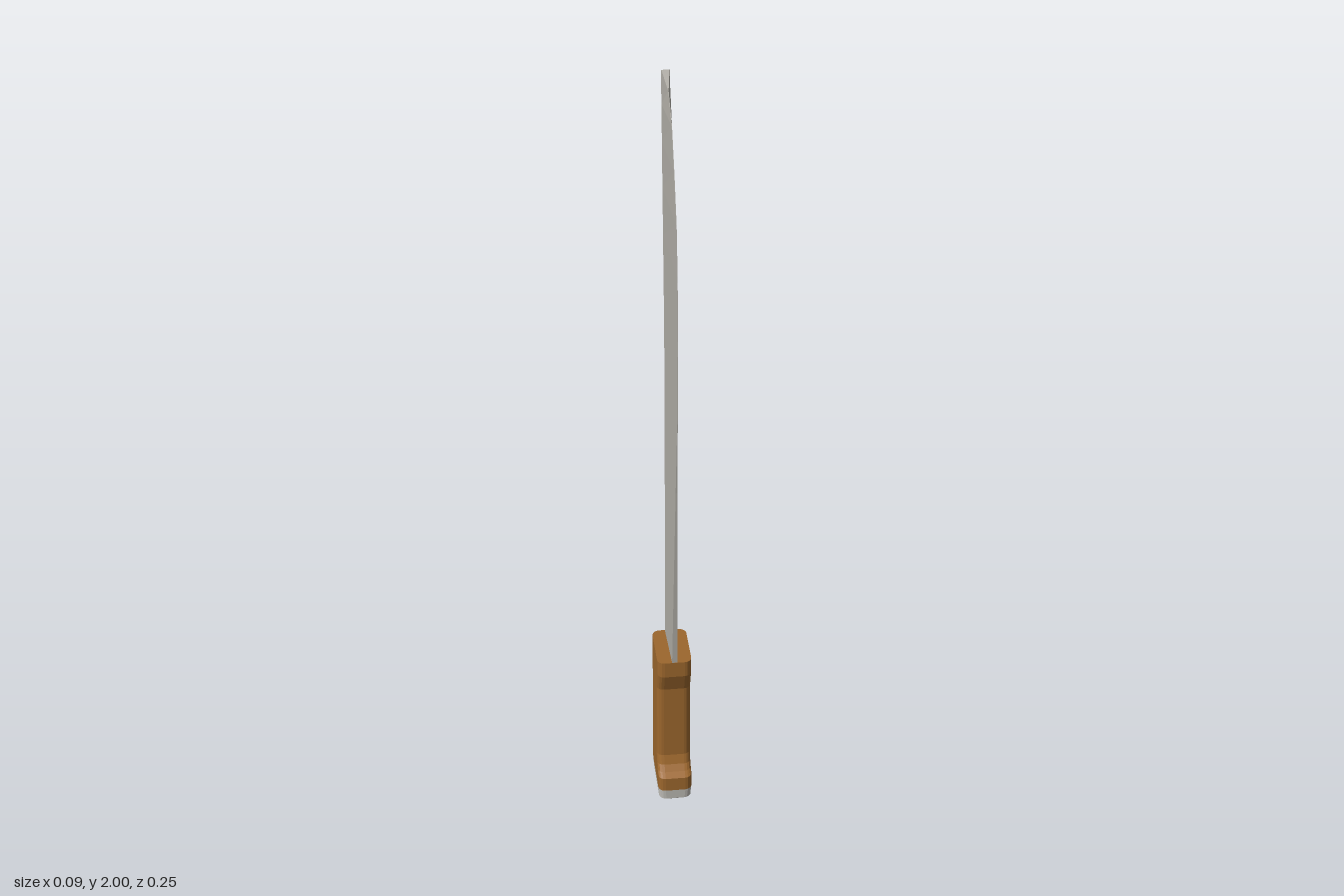
import * as THREE from 'three';

const material = (name, color, flatShading = true) => {
  const m = new THREE.MeshStandardMaterial({ color, flatShading });
  m.name = name;
  return m;
};

// Skins a stack of rings (each counterclockwise seen from above, listed bottom to top) and caps both ends
function loft(rings) {
  const pos = [];
  const tri = (...points) => points.forEach((p) => pos.push(...p));
  const n = rings[0].length;
  for (let i = 0; i < rings.length - 1; i++) {
    for (let j = 0; j < n; j++) {
      const k = (j + 1) % n;
      const [a, b, c, d] = [rings[i][j], rings[i][k], rings[i + 1][k], rings[i + 1][j]];
      tri(a, b, c);
      tri(a, c, d);
    }
  }
  const low = rings[0], high = rings[rings.length - 1];
  for (let j = 1; j < n - 1; j++) {
    tri(low[0], low[j + 1], low[j]);
    tri(high[0], high[j], high[j + 1]);
  }
  const g = new THREE.BufferGeometry();
  g.setAttribute('position', new THREE.Float32BufferAttribute(pos, 3));
  g.computeVertexNormals();
  return g;
}

// Horizontal rounded rectangle spanning zBack..zFront with half width w
function roundedRing(y, zFront, zBack, w, r = 0.018, steps = 4) {
  const ring = [];
  const corners = [[w - r, zBack + r], [-w + r, zBack + r], [-w + r, zFront - r], [w - r, zFront - r]];
  corners.forEach(([cx, cz], q) => {
    for (let s = 0; s <= steps; s++) {
      const a = (q + s / steps) * Math.PI / 2;
      ring.push([cx + r * Math.cos(a), y, cz - r * Math.sin(a)]);
    }
  });
  return ring;
}

export function createModel() {
  const group = new THREE.Group();
  const steel = material('blade steel', 0xb0ada6);
  const wood = material('brown wood', 0x9c672d);
  const cap = material('pale metal', 0xc4c2bc);

  const add = (name, rings, mat) => {
    const mesh = new THREE.Mesh(loft(rings), mat);
    mesh.name = name;
    group.add(mesh);
  };

  // Blade: wedge section, thick spine at the back and cutting edge at the front
  // rows are [y, edge z, spine z, edge half thickness]
  const bladeRows = [
    [0.42, 0.067, -0.065, 0.007], [0.46, 0.069, -0.065, 0.007], [1.0, 0.098, -0.065, 0.002],
    [1.22, 0.119, -0.065, 0.0006], [1.42, 0.125, -0.076, 0.0005], [1.6, 0.111, -0.091, 0.0005],
    [1.72, 0.091, -0.101, 0.0005], [1.83, 0.046, -0.11, 0.0005], [1.92, 0.001, -0.118, 0.0005],
    [1.975, -0.065, -0.123, 0.0005], [2.0, -0.122, -0.125, 0.009],
  ];
  add('blade', bladeRows.map(([y, zf, zb, e]) => [
    [0.01, y, zb], [-0.01, y, zb], [-e, y, zf], [e, y, zf],
  ]), steel);

  // Handle: straight back, front scooped for the fingers; rows are [y, front z]
  const handleRows = [
    [0.05, 0.089], [0.09, 0.089], [0.1, 0.073], [0.115, 0.06], [0.14, 0.051],
    [0.36, 0.051], [0.415, 0.07], [0.46, 0.07],
  ];
  add('handle', handleRows.map(([y, zf]) => roundedRing(y, zf, -0.07, 0.044)), wood);

  // Pommel cap: bevelled underside
  add('pommelCap', [
    roundedRing(0, 0.05, -0.035, 0.026, 0.012),
    roundedRing(0.008, 0.073, -0.055, 0.033, 0.014),
    roundedRing(0.02, 0.086, -0.066, 0.042),
    roundedRing(0.05, 0.089, -0.07, 0.044),
  ], cap);

  return group;
}
